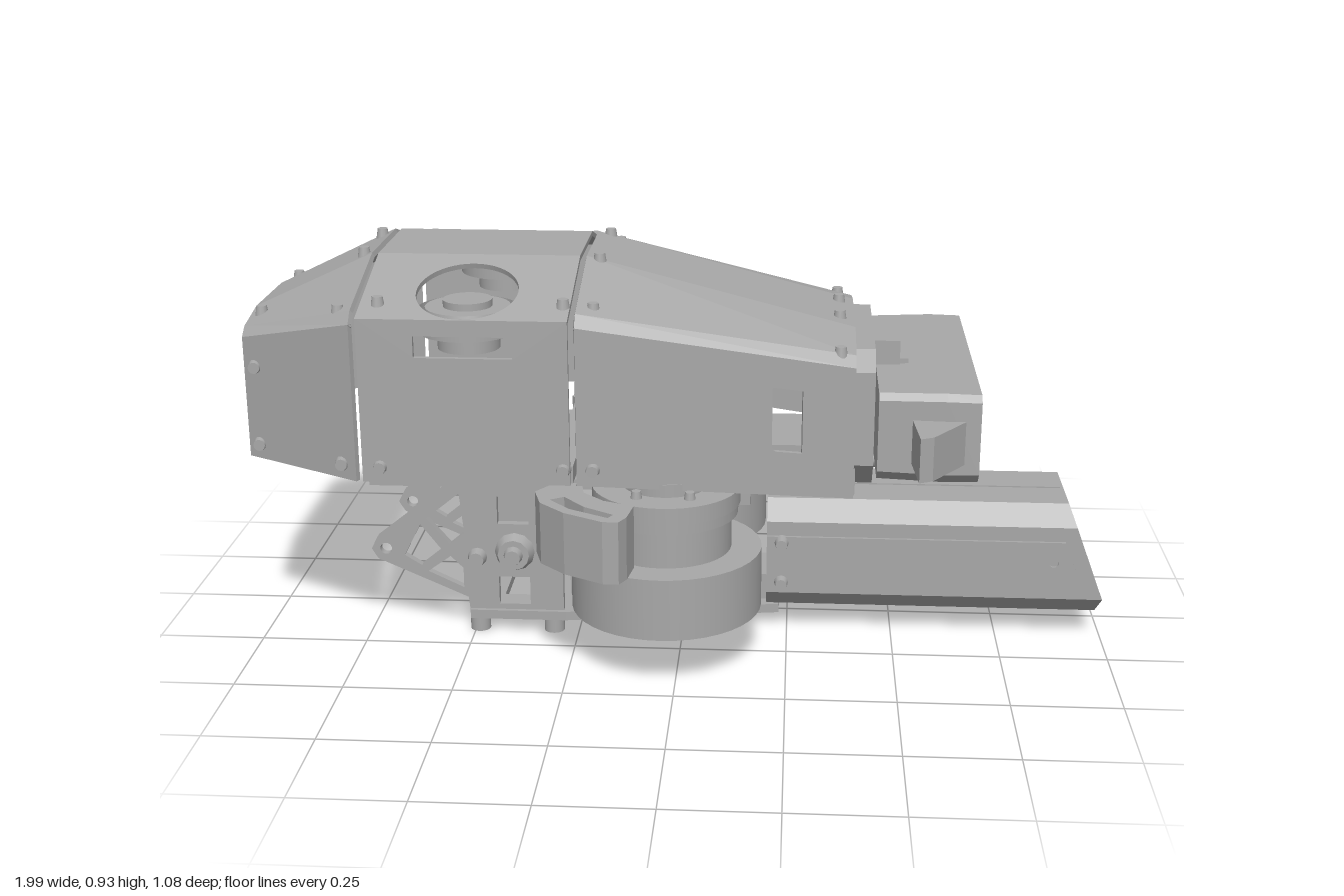
import * as THREE from 'three';

const grey = new THREE.MeshStandardMaterial({ color: 0xa8a8a8, side: THREE.DoubleSide });
grey.name = 'machinedGrey';

export function createModel() {
  const root = new THREE.Group();
  root.name = 'turretHead';

  const add = (name, geo, x = 0, y = 0, z = 0) => {
    const m = new THREE.Mesh(geo, grey);
    m.name = name;
    m.position.set(x, y, z);
    root.add(m);
    return m;
  };
  const box = (name, x0, x1, y0, y1, z0, z1) =>
    add(name, new THREE.BoxGeometry(x1 - x0, y1 - y0, Math.abs(z1 - z0)), (x0 + x1) / 2, (y0 + y1) / 2, (z0 + z1) / 2);
  const disc = (name, x, z, y0, y1, r, rTop = r) =>
    add(name, new THREE.CylinderGeometry(rTop, r, y1 - y0, 40), x, (y0 + y1) / 2, z);
  const screw = (x, y, z, axis, r = 0.018, h = 0.024) => {
    const m = add('screw', new THREE.CylinderGeometry(r * 0.75, r, h, 12), x, y, z);
    if (axis === 'x') m.rotation.z = -Math.PI / 2;
    if (axis === 'z') m.rotation.x = Math.sign(z) * Math.PI / 2;
  };
  const circle = (a, b, ra, rb = ra) => new THREE.Path().absellipse(a, b, ra, rb, 0, Math.PI * 2, true);
  const poly = (pts) => new THREE.Path(pts.map(([a, b]) => new THREE.Vector2(a, b)));
  const rect = (a0, a1, b0, b1) => poly([[a0, b0], [a0, b1], [a1, b1], [a1, b0]]);

  // Extrudes an outline with holes and places each vertex by map(a, b, w)
  const plate = (name, pts, holes, depth, map) => {
    const s = new THREE.Shape(pts.map(([a, b]) => new THREE.Vector2(a, b)));
    s.holes.push(...holes);
    const g = new THREE.ExtrudeGeometry(s, { depth, bevelEnabled: false, curveSegments: 32 });
    const p = g.attributes.position;
    for (let i = 0; i < p.count; i++) p.setXYZ(i, ...map(p.getX(i), p.getY(i), p.getZ(i)));
    g.computeVertexNormals();
    return add(name, g);
  };
  const alongX = (x0) => (z, y, w) => [x0 + w, y, z];
  const alongY = (y0, s = 1) => (x, z, w) => [x, y0 + w, z * s];

  // Sheet between four corners, with holes given in 0..1 coordinates
  const sheet = (name, A, B, C, D, holes = []) => {
    const [a, b, c, d] = [A, B, C, D].map((v) => new THREE.Vector3(...v));
    const n = b.clone().sub(a).cross(d.clone().sub(a)).normalize();
    const inward = new THREE.Vector3(0, 0.55, 0).sub(new THREE.Vector3(0, a.y, a.z));
    if (n.dot(inward) < 0) n.negate();
    return plate(name, [[0, 0], [1, 0], [1, 1], [0, 1]], holes, 0.012, (u, v, w) =>
      a.clone().lerp(b, u).lerp(d.clone().lerp(c, u), v).addScaledVector(n, w).toArray());
  };

  // Armoured shell: sections as [z, y] from crown to lower rim
  const full = [[0.13, 0.92], [0.375, 0.848], [0.4, 0.822], [0.4, 0.46]];
  const sharp = [[0.13, 0.92], [0.4, 0.836], [0.4, 0.46]];
  const tail = [[0.11, 0.785], [0.215, 0.765], [0.24, 0.745], [0.24, 0.46]];
  const nose = [[0.13, 0.762], [0.27, 0.735], [0.295, 0.712], [0.295, 0.405]];
  const shell = (name, x0, s0, x1, s1, holes = {}) => {
    const at = (x, [z, y], s) => [x, y, z * s];
    sheet(name + 'Crown', at(x0, s0[0], 1), at(x1, s1[0], 1), at(x1, s1[0], -1), at(x0, s0[0], -1));
    for (const s of [1, -1])
      for (let i = 0; i < s0.length - 1; i++)
        sheet(name + 'Panel', at(x0, s0[i], s), at(x1, s1[i], s), at(x1, s1[i + 1], s), at(x0, s0[i + 1], s), holes[i]);
  };
  shell('rearShell', -1, tail, -0.715, full);
  shell('middleShell', -0.7, sharp, -0.235, sharp, {
    0: [circle(0.495, 0.57, 0.245, 0.42)],
    1: [rect(0.27, 0.74, 0.1, 0.23)],
  });
  shell('frontShell', -0.22, full, 0.395, nose, { 2: [rect(0.7, 0.81, 0.22, 0.68)] });

  // Rear wall with cross-shaped opening
  const both = (half) => [...half, ...half.map(([z, y]) => [-z, y]).reverse()];
  const k = 0.035, e = 0.11;
  plate('rearWall', both(tail), [poly([[k, k], [e, k], [e, -k], [k, -k], [k, -e], [-k, -e], [-k, -k], [-e, -k],
    [-e, k], [-k, k], [-k, e], [k, e]].map(([z, y]) => [z, y + 0.62]))], 0.012, alongX(-1));

  for (const s of [1, -1]) {
    // Recessed roof motor
    const z = 0.285 * s;
    add('motorWell', new THREE.CylinderGeometry(0.113, 0.113, 0.05, 40, 1, true), -0.47, 0.81, z);
    disc('roofMotorBase', -0.47, z, 0.745, 0.79, 0.07);
    disc('roofMotor', -0.47, z, 0.785, 0.84, 0.108, 0.095);
    disc('roofMotorHub', -0.47, z, 0.84, 0.856, 0.055);

    // Shell screws
    for (const [x, y, zz] of [[-0.97, 0.68, 0.258], [-0.97, 0.495, 0.258], [-0.75, 0.495, 0.382], [-0.66, 0.495, 0.4],
      [-0.25, 0.495, 0.4], [-0.185, 0.495, 0.396]]) screw(x, y, zz * s, 'z');
    for (const [x, y, zz] of [[-0.75, 0.84, 0.34], [-0.66, 0.86, 0.34], [-0.25, 0.86, 0.34], [-0.185, 0.85, 0.33],
      [-0.97, 0.79, 0.17], [-0.74, 0.915, 0.1], [-0.19, 0.915, 0.13], [0.36, 0.743, 0.27], [0.36, 0.775, 0.075]])
      screw(x, y, zz * s, 'y', 0.016);

    // Flywheel and its drive motor
    const fx = -0.03, fz = 0.27 * s;
    disc('flywheel', fx, fz, 0.13, 0.275, 0.22);
    disc('flywheelHub', fx, fz, 0.115, 0.13, 0.027);
    disc('flywheelCollar', fx, fz, 0.275, 0.36, 0.15);
    disc('driveMotor', fx, fz, 0.36, 0.385, 0.165);
    disc('motorMount', fx, fz, 0.385, 0.425, 0.17);
    disc('motorCap', fx, fz, 0.425, 0.455, 0.1);
    for (let i = 0; i < 6; i++) {
      const t = i * Math.PI / 3;
      screw(fx + 0.12 * Math.cos(t), 0.43, fz + 0.12 * Math.sin(t), 'y', 0.014);
      disc('wheelScrew', fx + 0.08 * Math.cos(t), fz + 0.08 * Math.sin(t), 0.123, 0.131, 0.011);
    }

    // Slotted guard beside the wheel
    plate('wheelGuard', [[-0.32, 0.36], [-0.3, 0.43], [-0.24, 0.49], [-0.15, 0.54], [-0.115, 0.54], [-0.1, 0.51], [-0.09, 0.44],
      [-0.16, 0.41], [-0.21, 0.36], [-0.22, 0.3], [-0.28, 0.3]],
      [poly([[-0.28, 0.41], [-0.23, 0.465], [-0.14, 0.515], [-0.13, 0.495], [-0.2, 0.45], [-0.25, 0.39]])], 0.145, alongY(0.285, s));

    // Side bracket with triangular tail
    plate('sideBracket', [[-0.745, 0.205], [-0.73, 0.18], [-0.515, 0.085], [-0.51, 0.035], [-0.285, 0.035], [-0.285, 0.385],
      [-0.54, 0.385], [-0.73, 0.235]],
      [circle(-0.71, 0.206, 0.014), poly([[-0.665, 0.19], [-0.625, 0.27], [-0.575, 0.205], [-0.625, 0.165]]),
        poly([[-0.61, 0.285], [-0.53, 0.35], [-0.52, 0.25], [-0.555, 0.22]]),
        poly([[-0.61, 0.15], [-0.555, 0.19], [-0.525, 0.16], [-0.525, 0.11]]),
        rect(-0.44, -0.365, 0.275, 0.345), rect(-0.44, -0.365, 0.07, 0.14)], 0.02, (x, y, w) => [x, y, s * (0.15 + w)]);
    screw(-0.4, 0.205, s * 0.18, 'z', 0.05, 0.03);
    screw(-0.4, 0.205, s * 0.2, 'z', 0.025, 0.03);
    screw(-0.49, 0.19, s * 0.18, 'z', 0.024, 0.03);

    // Rails and posts joining shell and lower frame
    box('sideRail', -0.73, 0.4, 0.385, 0.41, s * 0.12, s * 0.22);
    box('shellPost', -0.52, -0.42, 0.4, 0.5, s * 0.14, s * 0.2);
    box('shellPost', 0.33, 0.4, 0.4, 0.46, s * 0.16, s * 0.25);
    box('hangerTab', 0.1, 0.16, 0.34, 0.39, s * 0.15, s * 0.18);
    for (const y of [0.24, 0.14]) screw(0.235, y, s * 0.168, 'z', 0.018, 0.03);

    // Feet under the base plate
    for (const [x, z] of [[-0.49, 0.155], [-0.31, 0.155], [-0.49, 0.08], [-0.21, 0.08]]) disc('footBolt', x, s * z, 0, 0.036, 0.024);
    for (const y of [0.7, 0.425]) screw(0.455, y, s * 0.075, 'x', 0.022, 0.03);
  }
  disc('footBolt', 0.09, 0, 0.012, 0.036, 0.02);

  // Lower frame
  plate('basePlate', [[-0.51, -0.18], [-0.28, -0.18], [0.23, -0.1], [0.23, 0.1], [-0.28, 0.18], [-0.51, 0.18]],
    [poly([[-0.2, 0.04], [0.1, 0.03], [0.1, 0.05], [-0.2, 0.11]]), poly([[-0.2, -0.04], [0.1, -0.03], [0.1, -0.05], [-0.2, -0.11]]),
      rect(-0.44, -0.36, -0.08, 0.08)], 0.022, alongY(0.034));
  box('feedRamp', -0.28, 0.22, 0.055, 0.12, -0.07, 0.07);
  box('upperDeck', -0.73, 0.4, 0.405, 0.425, -0.2, 0.2);
  box('innerChassis', -0.68, 0.3, 0.425, 0.47, -0.12, 0.12);
  for (const x of [-0.66, -0.28]) box('crossMember', x, x + 0.05, 0.46, 0.5, -0.385, 0.385);
  box('barrelStrap', 0.21, 0.4, 0.33, 0.405, -0.08, 0.08);

  // Barrel shroud: bored octagon with a raked muzzle
  const raked = (z, y, w) => [w < 0.4 ? 0.2 : y < 0.1 ? 0.985 : 0.998 - 0.38 * (y - 0.1), y, z];
  plate('barrelShroud', both([[0.11, 0.335], [0.155, 0.29], [0.155, 0.11], [0.11, 0.064]]), [circle(0, 0.215, 0.085)], 0.8, raked);
  for (const s of [1, -1])
    plate('shroudSideCover', [[0.2, 0.13], [0.95, 0.13], [0.9, 0.255], [0.2, 0.255]], [circle(0.875, 0.205, 0.012)], 0.008,
      (x, y, w) => [x, y, s * (0.154 + w)]);
  box('shroudTopSeam', 0.4, 0.9, 0.333, 0.338, -0.006, 0.006);

  // Neck between shell and sensor head
  plate('neckFlange', both([[0.2, 0.73], [0.255, 0.69], [0.255, 0.47], [0.2, 0.41]]), [], 0.05, alongX(0.39));
  box('neckBlock', 0.42, 0.52, 0.44, 0.68, -0.1, 0.1);
  box('neckTopTab', 0.42, 0.5, 0.66, 0.725, -0.11, 0.11);

  // Sensor head with recessed windows
  const headOutline = [[0.335, 0.67], [0.35, 0.655], [0.35, 0.485], [0.325, 0.46], [-0.32, 0.46], [-0.345, 0.485], [-0.358, 0.62],
    [-0.35, 0.655], [-0.335, 0.672]];
  const windows = [[0.17, 0.32], [0.01, 0.15], [-0.2, -0.055], [-0.295, -0.21]];
  plate('sensorHeadBack', headOutline, [], 0.15, (z, y, w) => {
    const f = w > 0 ? 1 : 0.97;
    return [0.445 + w, 0.565 + (y - 0.565) * f, z * f];
  });
  plate('sensorHeadFront', headOutline, windows.map(([a, b], i) => rect(a, b, i === 3 ? 0.525 : 0.5, i === 3 ? 0.605 : 0.62)), 0.075,
    (z, y, w) => [0.595 + w, w > 0 ? 0.565 + (y - 0.565) * 0.98 : y, z]);
  for (const [a, b] of windows) box('sensorWindow', 0.59, 0.615, 0.525, 0.6, a + 0.02, b - 0.02);
  plate('sideFin', [[0.52, 0.345], [0.64, 0.345], [0.56, 0.46], [0.53, 0.475]], [], 0.1, alongY(0.51));

  return root;
}
